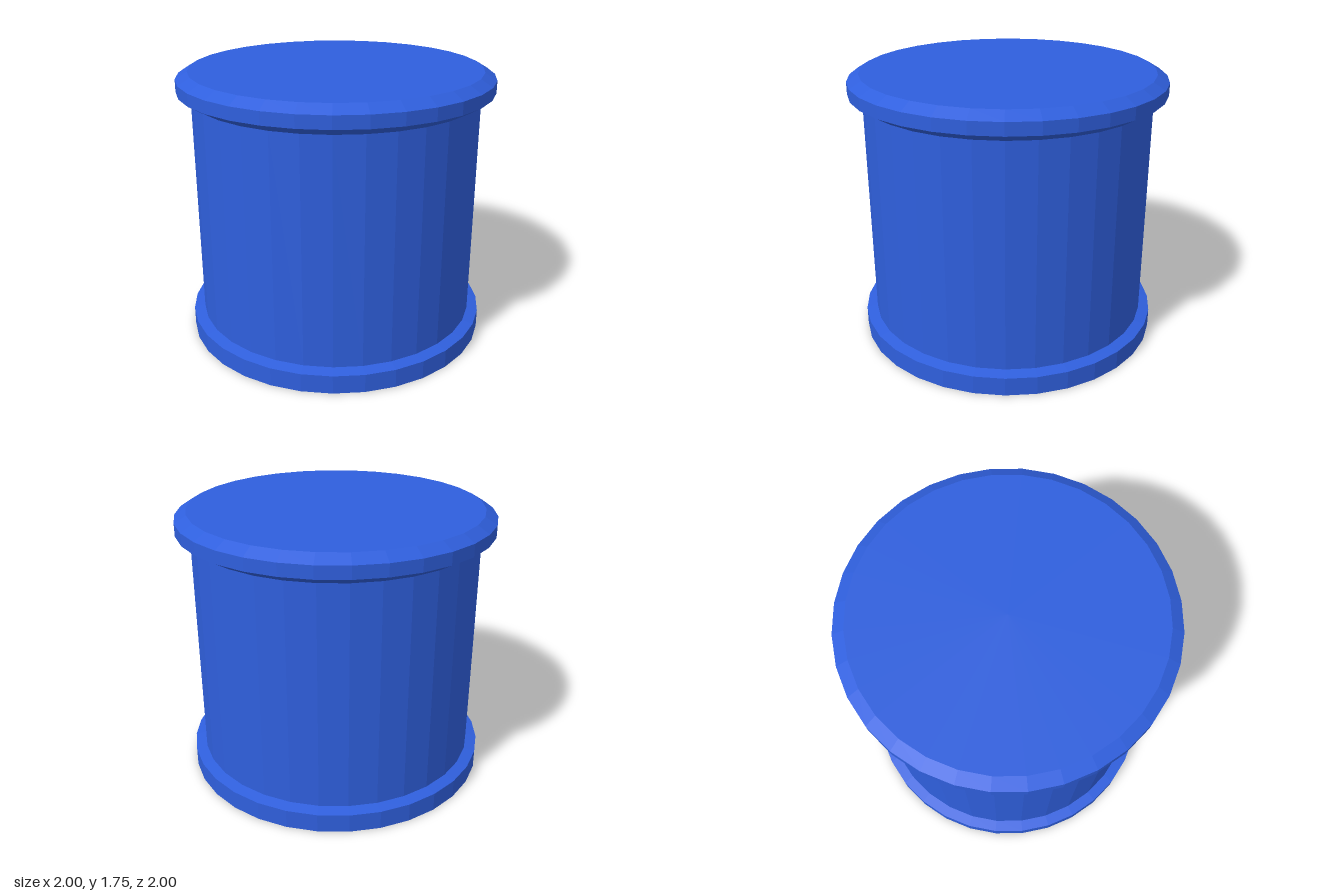
import * as THREE from 'three';

const SIDES = 32;

export function createModel() {
  const group = new THREE.Group();
  const material = new THREE.MeshStandardMaterial({ color: 0x2f5fdd, flatShading: true });

  // Turned part from a bottom-to-top profile of [radius, height]
  function turned(name, profile) {
    const points = profile.map(([r, y]) => new THREE.Vector2(r, y));
    const mesh = new THREE.Mesh(new THREE.LatheGeometry(points, SIDES), material);
    mesh.name = name;
    group.add(mesh);
  }

  // Foot: closed underneath, with a slightly sloped ledge
  turned('baseFlange', [[0, 0], [0.983, 0], [0.983, 0.12], [0.912, 0.135]]);

  // Straight drum wall
  turned('drumBody', [[0.912, 0.135], [0.912, 1.575]]);

  // Lid: flared underside, upright band, bevelled rim and flat top
  turned('lid', [[0.912, 1.575], [1, 1.627], [1, 1.705], [0.925, 1.75], [0, 1.75]]);

  return group;
}
